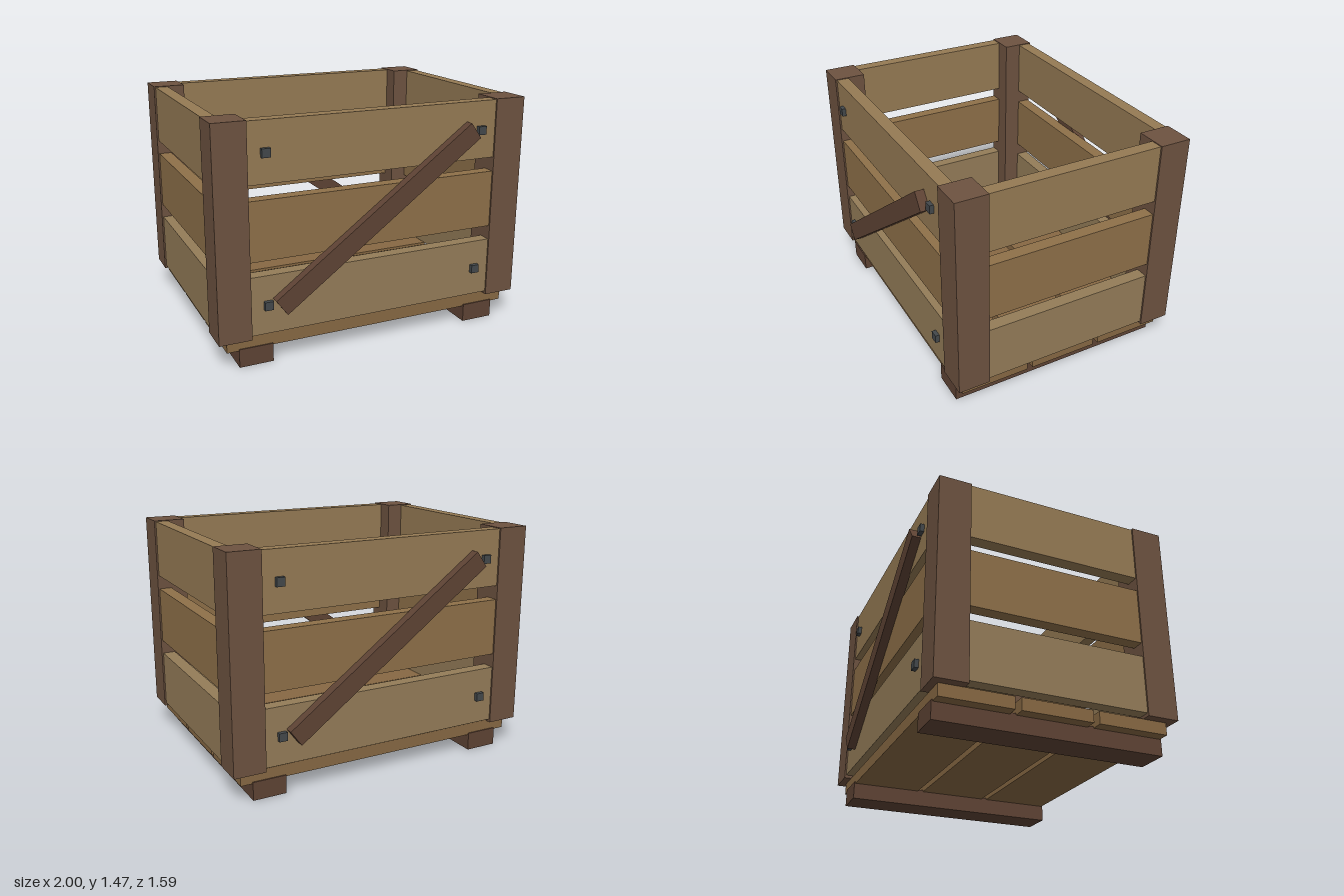
import * as THREE from 'three';

const paint = (color) => new THREE.MeshStandardMaterial({ color, flatShading: true });

export function createModel() {
  const crate = new THREE.Group();
  crate.name = 'crate';

  const slatWoods = [paint(0x947c58), paint(0x8e7049), paint(0x957a54)];
  const postWood = paint(0x6d5240);
  const braceWood = paint(0x5e4334);
  const floorWood = paint(0x876843);
  const iron = paint(0x43484b);

  const addBox = (parent, name, size, position, material) => {
    const mesh = new THREE.Mesh(new THREE.BoxGeometry(...size), material);
    mesh.name = name;
    mesh.position.set(...position);
    parent.add(mesh);
    return mesh;
  };

  // Two runners under the floor
  for (const s of [-1, 1]) {
    addBox(crate, 'runner', [0.21, 0.115, 1.425], [s * 0.765, 0.0575, 0], braceWood);
  }

  // Three floor boards with narrow gaps
  for (const i of [-1, 0, 1]) {
    addBox(crate, 'floorBoard', [1.885, 0.077, 0.445], [0, 0.1425, i * 0.4825], floorWood);
  }

  // Corner posts
  for (const sx of [-1, 1]) {
    for (const sz of [-1, 1]) {
      addBox(crate, 'cornerPost', [0.2, 1.285, 0.2], [sx * 0.9, 0.8225, sz * 0.651], postWood);
    }
  }

  // Slats on all four walls, ends let into the posts
  slatWoods.forEach((wood, row) => {
    const y = 0.38 + row * 0.45;
    for (const s of [-1, 1]) {
      addBox(crate, 'longSlat', [1.7, 0.36, 0.08], [0, y, s * 0.701], wood);
      addBox(crate, 'sideSlat', [0.08, 0.36, 1.2], [s * 0.95, y, 0], wood);
    }
  });

  // Diagonal brace and bolts, the same on the front and turned round to the back
  for (const [name, turn] of [['frontFittings', 0], ['backFittings', Math.PI]]) {
    const fittings = new THREE.Group();
    fittings.name = name;
    fittings.rotation.y = turn;
    const brace = addBox(fittings, 'diagonalBrace', [1.565, 0.118, 0.06], [0, 0.83, 0.766], braceWood);
    brace.rotation.z = Math.atan2(0.925, 1.2625);
    for (const x of [-0.697, 0.697]) {
      for (const y of [0.38, 1.28]) {
        addBox(fittings, 'bolt', [0.052, 0.052, 0.05], [x, y, 0.742], iron);
      }
    }
    crate.add(fittings);
  }

  return crate;
}
